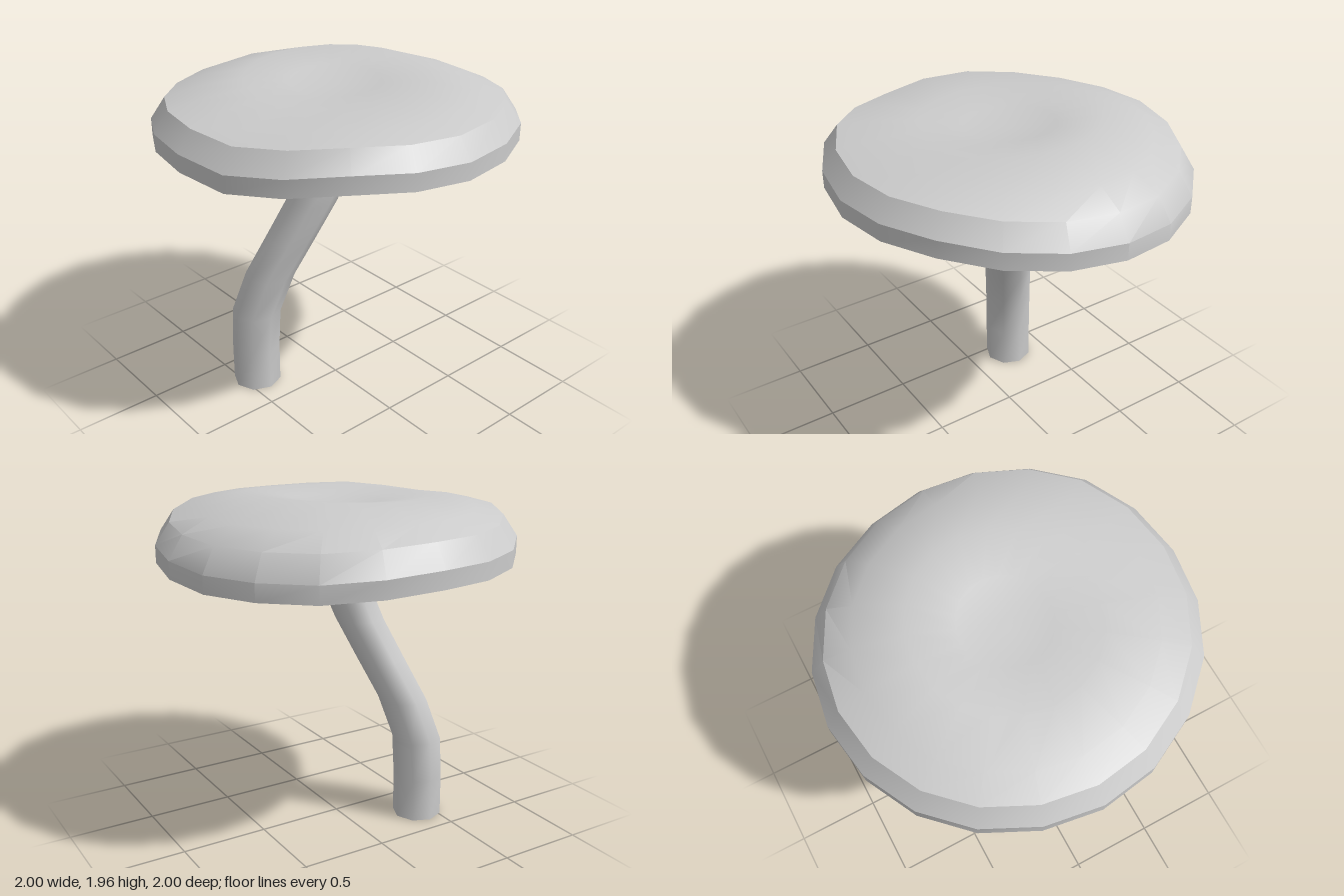
import * as THREE from 'three';
import { toCreasedNormals } from 'three/addons/utils/BufferGeometryUtils.js';

// Skins a stack of closed rings, each an array of [x, y, z] with the same count
function loft(rings) {
  const n = rings[0].length;
  const index = [];
  for (let j = 0; j < rings.length - 1; j++) {
    for (let i = 0; i < n; i++) {
      const a = j * n + i;
      const b = j * n + (i + 1) % n;
      index.push(a, b, b + n, a, b + n, a + n);
    }
  }
  const geometry = new THREE.BufferGeometry();
  geometry.setAttribute('position', new THREE.Float32BufferAttribute(rings.flat(2), 3));
  geometry.setIndex(index);
  geometry.computeVertexNormals();
  return geometry;
}

// Wavy height of the lower rim, from the front (+z) round through +x
const RIM = [
  1.65, 1.65, 1.65, 1.62, 1.59, 1.565, 1.545, 1.545, 1.55, 1.57,
  1.59, 1.59, 1.595, 1.615, 1.64, 1.64, 1.62, 1.65, 1.68, 1.665,
];

// Cap profile from the open underside, round the rim, to the top centre:
// radius, height, share of the rim wave, rise towards the back right
const CAP = [
  [0.5, 1.79, 0, 0.02],
  [0.745, 1.705, 0.3, 0],
  [0.76, 1.685, 0.35, 0],
  [1, 1.61, 1, 0],
  [1, 1.706, 1, 0],
  [0.92, 1.825, 0.8, 0],
  [0.77, 1.878, 0.45, 0.01],
  [0.5, 1.934, 0, 0.024],
  [0.25, 1.904, 0, 0.015],
  [0.001, 1.88, 0, 0],
];

function capGeometry() {
  const rings = CAP.map(([r, y, wave, tilt]) => RIM.map((rim, i) => {
    const a = i / RIM.length * Math.PI * 2;
    const s = Math.sin(a), c = Math.cos(a);
    return [r * s, y + wave * (rim - 1.61) + tilt * (0.85 * s - 0.5 * c), r * c];
  }));
  return toCreasedNormals(loft(rings), 0.55);
}

// Stem centre line; every section stays level
const STEM = [
  [-0.412, 0, -0.267], [-0.411, 0.25, -0.266], [-0.4, 0.49, -0.26],
  [-0.327, 0.735, -0.21], [-0.222, 0.975, -0.135], [-0.12, 1.215, -0.06],
  [-0.035, 1.46, -0.005], [-0.012, 1.7, 0.005],
];

function stemGeometry(radius = 0.144, sides = 8) {
  return loft(STEM.map(([x, y, z]) => Array.from({ length: sides }, (_, i) => {
    const a = i / sides * Math.PI * 2;
    return [x + radius * Math.sin(a), y, z + radius * Math.cos(a)];
  })));
}

export function createModel() {
  const group = new THREE.Group();
  group.name = 'mushroom';
  const material = new THREE.MeshStandardMaterial({ color: 0xcccccc, side: THREE.DoubleSide });

  const cap = new THREE.Mesh(capGeometry(), material);
  cap.name = 'cap';
  const stem = new THREE.Mesh(stemGeometry(), material);
  stem.name = 'stem';
  group.add(cap, stem);
  return group;
}
